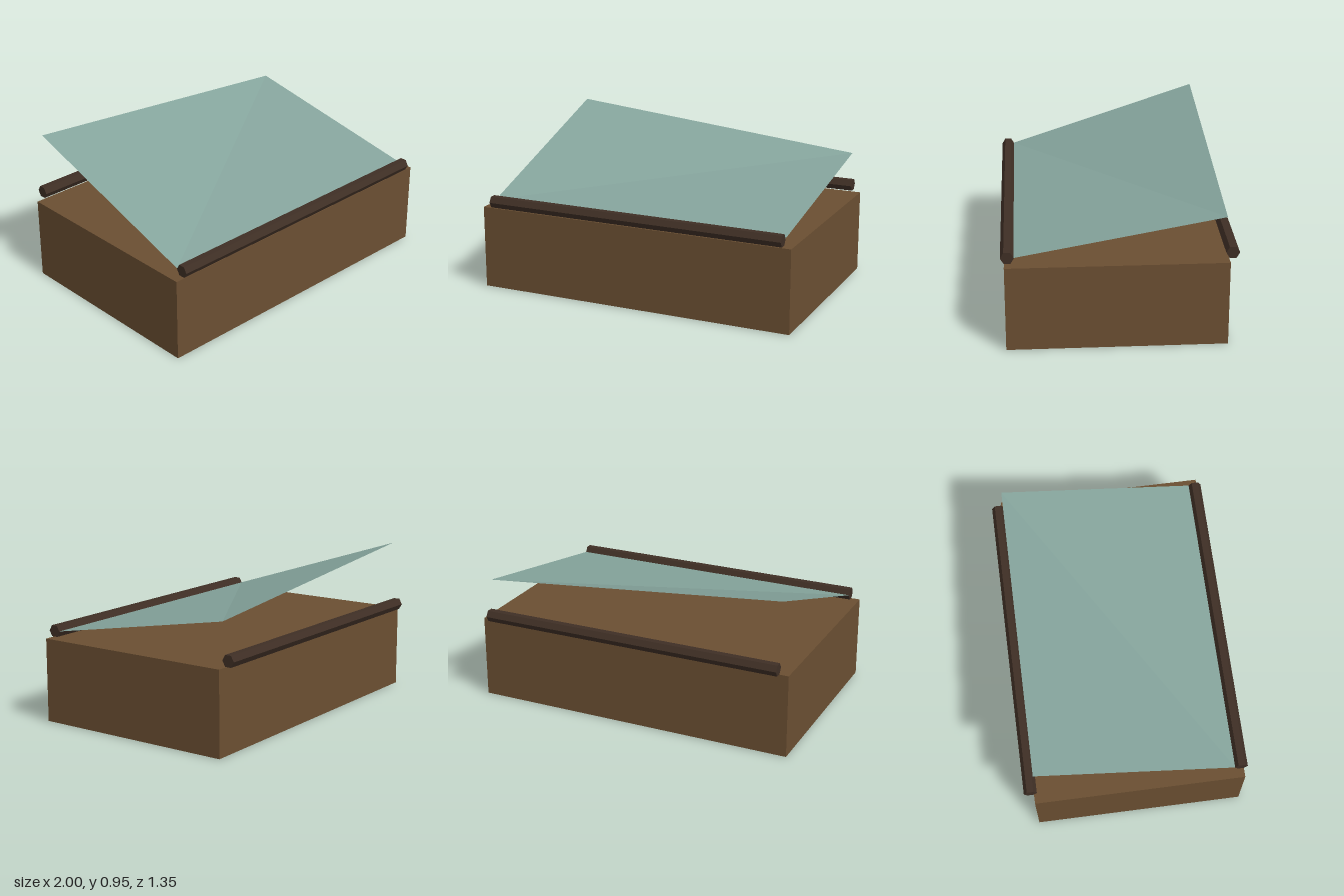
import * as THREE from 'three';

const material = (name, color, extra = {}) => {
  const m = new THREE.MeshStandardMaterial({ color, flatShading: true, ...extra });
  m.name = name;
  return m;
};

export function createModel() {
  const group = new THREE.Group();
  const wood = material('wood', 0x6b4f32);
  const darkWood = material('darkWood', 0x3f2f25);
  const glass = material('paleGreenGlass', 0x85a49c, { side: THREE.DoubleSide });

  const add = (name, geometry, mat, x = 0, y = 0, z = 0) => {
    const mesh = new THREE.Mesh(geometry, mat);
    mesh.name = name;
    mesh.position.set(x, y, z);
    group.add(mesh);
    return mesh;
  };

  // Solid body, set slightly towards the front
  add('body', new THREE.BoxGeometry(2, 0.51, 1.272), wood, 0, 0.255, 0.019);

  // Hexagonal rails along the front and back edges
  for (const [name, side] of [['frontRail', 1], ['backRail', -1]]) {
    const rail = new THREE.CylinderGeometry(0.039, 0.039, 1.89, 6).rotateZ(Math.PI / 2);
    add(name, rail, darkWood, 0, 0.548, side * 0.637);
  }

  // Tilted pane, folded along its diagonal, higher on the right
  const pane = new THREE.BufferGeometry();
  pane.setAttribute('position', new THREE.Float32BufferAttribute([
    -0.945, 0.55, 0.6,
    0.945, 0.55, 0.6,
    0.945, 0.766, -0.6,
    -0.945, 0.946, -0.6,
  ], 3));
  pane.setIndex([0, 1, 2, 0, 2, 3]);
  pane.computeVertexNormals();
  add('pane', pane, glass);

  // Small dark pads almost flush with the underside
  for (const [name, z] of [['frontPad', 0.57], ['backPad', -0.54]]) {
    add(name, new THREE.CylinderGeometry(0.075, 0.075, 0.006, 8), darkWood, -0.92, 0.001, z);
  }

  return group;
}
